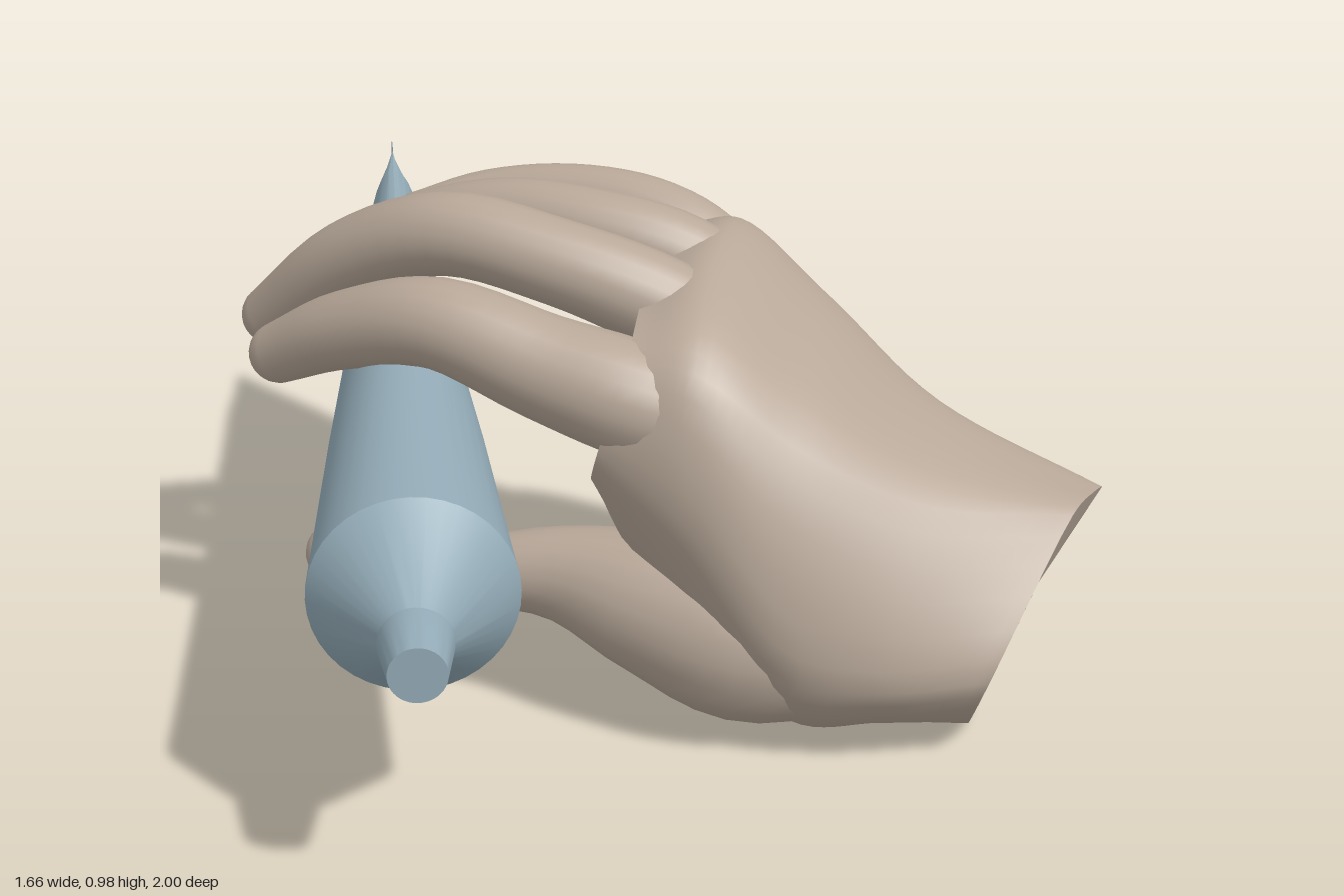
import * as THREE from 'three';
import { toCreasedNormals } from 'three/addons/utils/BufferGeometryUtils.js';

const V = (x, y, z) => new THREE.Vector3(x, y, z);
const skin = new THREE.MeshStandardMaterial({ color: 0xb8a899 });
const metal = new THREE.MeshStandardMaterial({ color: 0x93abb7 });

// Skins closed rings of equal length, with flat caps on both ends
function loft(rings) {
  const n = rings[0].length;
  const verts = rings.flat();
  const faces = [];
  for (let i = 0; i < rings.length - 1; i++) {
    for (let j = 0; j < n; j++) {
      const k = (j + 1) % n, a = i * n, b = a + n;
      faces.push([a + j, a + k, b + j], [a + k, b + k, b + j]);
    }
  }
  [rings[0], rings[rings.length - 1]].forEach((ring, end) => {
    const base = verts.length;
    const centre = ring.reduce((s, p) => s.add(p), V(0, 0, 0)).divideScalar(n);
    verts.push(...ring, centre);
    for (let j = 0; j < n; j++) {
      const k = (j + 1) % n;
      faces.push(end ? [base + j, base + k, base + n] : [base + k, base + j, base + n]);
    }
  });
  // A negative volume means the faces point inward, so turn them round
  let volume = 0;
  for (const [a, b, c] of faces) volume += verts[a].dot(V(0, 0, 0).crossVectors(verts[b], verts[c]));
  if (volume < 0) faces.forEach((f) => f.reverse());
  const geometry = new THREE.BufferGeometry().setFromPoints(verts);
  geometry.setIndex(faces.flat());
  geometry.computeVertexNormals();
  return geometry;
}

// Round limb through [x, y, z, radius] points with a domed tip
function limb(points) {
  const path = new THREE.CatmullRomCurve3(points.map((p) => V(p[0], p[1], p[2])), false, 'catmullrom');
  const size = new THREE.CatmullRomCurve3(points.map((p) => V(p[3], 0, 0)), false, 'catmullrom');
  const rings = [];
  const addRing = (centre, tangent, r) => {
    const side = V(0, 1, 0).cross(tangent).normalize();
    const up = tangent.clone().cross(side);
    rings.push(Array.from({ length: 20 }, (_, j) => {
      const a = (j / 20) * Math.PI * 2;
      return centre.clone().addScaledVector(side, r * Math.cos(a)).addScaledVector(up, r * Math.sin(a));
    }));
  };
  for (let i = 0; i <= 30; i++) addRing(path.getPoint(i / 30), path.getTangent(i / 30), size.getPoint(i / 30).x);
  const end = path.getPoint(1), dir = path.getTangent(1), r = points[points.length - 1][3];
  for (let i = 1; i <= 6; i++) {
    const a = (i / 6) * 1.5;
    addRing(end.clone().addScaledVector(dir, r * Math.sin(a)), dir, r * Math.cos(a));
  }
  return loft(rings);
}

// Palm sections from the wrist cut to the finger roots; each runs over the
// back of the hand, round the little-finger edge, and back across the palm
const palmSections = [
  [[0.72, 0.43, 0.38], [0.79, 0.42, 0.26], [0.83, 0.38, 0.16], [0.79, 0.29, 0.08],
    [0.69, 0.15, 0.11], [0.60, 0.05, 0.28], [0.53, 0.02, 0.42], [0.53, 0.19, 0.58]],
  [[0.42, 0.50, 0.45], [0.48, 0.56, 0.22], [0.53, 0.52, 0.03], [0.55, 0.40, -0.04],
    [0.50, 0.24, 0.02], [0.42, 0.10, 0.20], [0.37, 0.02, 0.38], [0.33, 0.18, 0.58]],
  [[0.18, 0.63, 0.46], [0.25, 0.74, 0.20], [0.31, 0.73, -0.05], [0.33, 0.62, -0.18],
    [0.28, 0.42, -0.10], [0.22, 0.24, 0.10], [0.20, 0.01, 0.33], [0.16, 0.20, 0.55]],
  [[0.00, 0.765, 0.42], [0.06, 0.865, 0.16], [0.14, 0.87, -0.10], [0.17, 0.79, -0.235],
    [0.12, 0.63, -0.15], [0.03, 0.50, 0.08], [-0.10, 0.34, 0.25], [-0.04, 0.46, 0.47]],
  [[-0.12, 0.765, 0.36], [-0.06, 0.83, 0.14], [0.03, 0.86, -0.08], [0.07, 0.82, -0.21],
    [0.04, 0.74, -0.16], [-0.06, 0.67, 0.06], [-0.17, 0.50, 0.25], [-0.18, 0.58, 0.38]],
];

function palmGeometry() {
  const outlines = palmSections.map((s) =>
    new THREE.CatmullRomCurve3(s.map((p) => V(...p)), true, 'centripetal'));
  const strands = Array.from({ length: 48 }, (_, j) =>
    new THREE.CatmullRomCurve3(outlines.map((o) => o.getPoint(j / 48))));
  return loft(Array.from({ length: 33 }, (_, i) => strands.map((s) => s.getPoint(i / 32))));
}

// Each digit starts thin inside the palm and swells as it leaves it
const digits = {
  indexFinger: [[0.2, 0.52, 0.32, 0.04], [0.06, 0.61, 0.335, 0.09], [-0.09, 0.675, 0.325, 0.11],
    [-0.26, 0.725, 0.26, 0.1], [-0.45, 0.785, 0.175, 0.087], [-0.62, 0.735, 0.06, 0.076],
    [-0.755, 0.65, -0.045, 0.06]],
  middleFinger: [[0.26, 0.6, 0.17, 0.03], [0.12, 0.71, 0.16, 0.07], [-0.03, 0.795, 0.14, 0.088],
    [-0.22, 0.865, 0.09, 0.083], [-0.43, 0.895, -0.01, 0.081], [-0.62, 0.8, -0.14, 0.076],
    [-0.775, 0.645, -0.26, 0.06]],
  ringFinger: [[0.28, 0.6, 0.03, 0.03], [0.17, 0.735, 0.01, 0.065], [0.03, 0.825, -0.02, 0.082],
    [-0.13, 0.87, -0.07, 0.077], [-0.31, 0.872, -0.165, 0.073], [-0.5, 0.81, -0.265, 0.068],
    [-0.67, 0.71, -0.345, 0.053]],
  littleFinger: [[0.29, 0.57, -0.05, 0.03], [0.2, 0.69, -0.11, 0.06], [0.09, 0.785, -0.18, 0.078],
    [-0.02, 0.835, -0.25, 0.074], [-0.17, 0.85, -0.325, 0.065], [-0.33, 0.83, -0.385, 0.058],
    [-0.475, 0.79, -0.41, 0.048]],
  thumb: [[0.5, 0.22, 0.34, 0.06], [0.31, 0.2, 0.35, 0.14], [0.12, 0.205, 0.345, 0.18],
    [-0.06, 0.245, 0.29, 0.145], [-0.24, 0.275, 0.21, 0.092], [-0.45, 0.26, 0.15, 0.062],
    [-0.57, 0.28, 0.12, 0.07], [-0.66, 0.285, 0.1, 0.062]],
};

export function createModel() {
  const model = new THREE.Group();
  const add = (parent, name, geometry, material) => {
    const mesh = new THREE.Mesh(geometry, material);
    mesh.name = name;
    parent.add(mesh);
  };

  // Hand
  const hand = new THREE.Group();
  hand.name = 'hand';
  add(hand, 'palm', palmGeometry(), skin);
  for (const [name, points] of Object.entries(digits)) add(hand, name, limb(points), skin);
  model.add(hand);

  // Squeeze tube: round at the shoulder, flat at the crimped end
  const tube = new THREE.Group();
  tube.name = 'squeezeTube';
  tube.position.set(-0.52, 0.497, 0);
  const bodySections = [[0.71, 0.187, 0.187], [0.2, 0.152, 0.208], [-0.3, 0.11, 0.235],
    [-0.8, 0.065, 0.258], [-0.93, 0.005, 0.258], [-1, 0.004, 0.258]];
  const body = loft(bodySections.map(([z, rx, ry]) => Array.from({ length: 40 }, (_, j) => {
    const a = (j / 40) * Math.PI * 2;
    return V(rx * Math.cos(a), ry * Math.sin(a), z);
  })));
  add(tube, 'tubeBody', toCreasedNormals(body, 0.4), metal);

  // Turned parts along the tube's axis, as [radius, z]
  const turned = (name, profile) => {
    const lathe = new THREE.LatheGeometry(profile.map(([r, z]) => new THREE.Vector2(r, z)), 40);
    lathe.rotateX(Math.PI / 2);
    add(tube, name, toCreasedNormals(lathe, 0.4), metal);
  };
  turned('tubeShoulder', [[0.187, 0.71], [0.062, 0.875], [0.055, 0.9]]);
  turned('tubeCap', [[0, 0.885], [0.066, 0.885], [0.066, 0.895], [0.051, 1], [0, 1]]);
  model.add(tube);

  return model;
}
